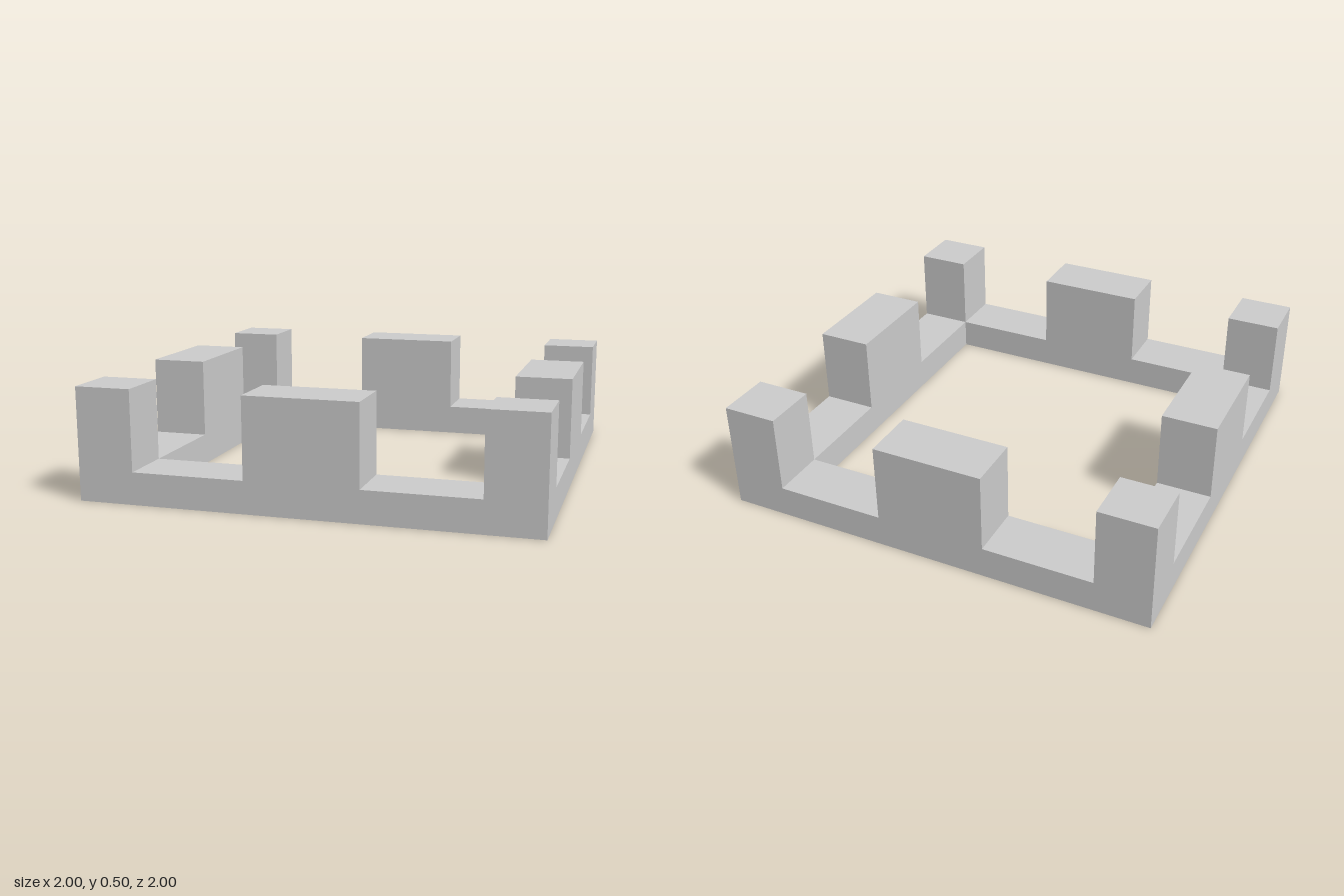
import * as THREE from 'three';

const HALF = 1, INNER = 0.75, BASE = 0.143, TOP = 0.5, MERLON = 0.5;
const WALL = HALF - INNER, MID = (HALF + INNER) / 2;

const material = new THREE.MeshStandardMaterial({ color: 0xcccccc, flatShading: true });

function square(PathType, h) {
  return new PathType([[-h, -h], [h, -h], [h, h], [-h, h]].map(([x, y]) => new THREE.Vector2(x, y)));
}

// Upright block standing on the base ring
function block(name, x, z, width, depth) {
  const height = TOP - BASE;
  const mesh = new THREE.Mesh(new THREE.BoxGeometry(width, height, depth), material);
  mesh.position.set(x, BASE + height / 2, z);
  mesh.name = name;
  return mesh;
}

export function createModel() {
  const model = new THREE.Group();
  model.name = 'battlement';

  // Low square ring joining all the blocks
  const outline = square(THREE.Shape, HALF);
  outline.holes.push(square(THREE.Path, INNER));
  const ringGeometry = new THREE.ExtrudeGeometry(outline, { depth: BASE, bevelEnabled: false });
  ringGeometry.rotateX(-Math.PI / 2);
  const ring = new THREE.Mesh(ringGeometry, material);
  ring.name = 'baseRing';
  model.add(ring);

  // Corner posts
  for (const sx of [-1, 1])
    for (const sz of [-1, 1])
      model.add(block(`${sz > 0 ? 'front' : 'back'}${sx > 0 ? 'Left' : 'Right'}Post`, sx * MID, sz * MID, WALL, WALL));

  // Wide merlon in the middle of each side
  for (const s of [-1, 1]) {
    model.add(block(s > 0 ? 'frontMerlon' : 'backMerlon', 0, s * MID, MERLON, WALL));
    model.add(block(s > 0 ? 'leftMerlon' : 'rightMerlon', s * MID, 0, WALL, MERLON));
  }

  return model;
}
